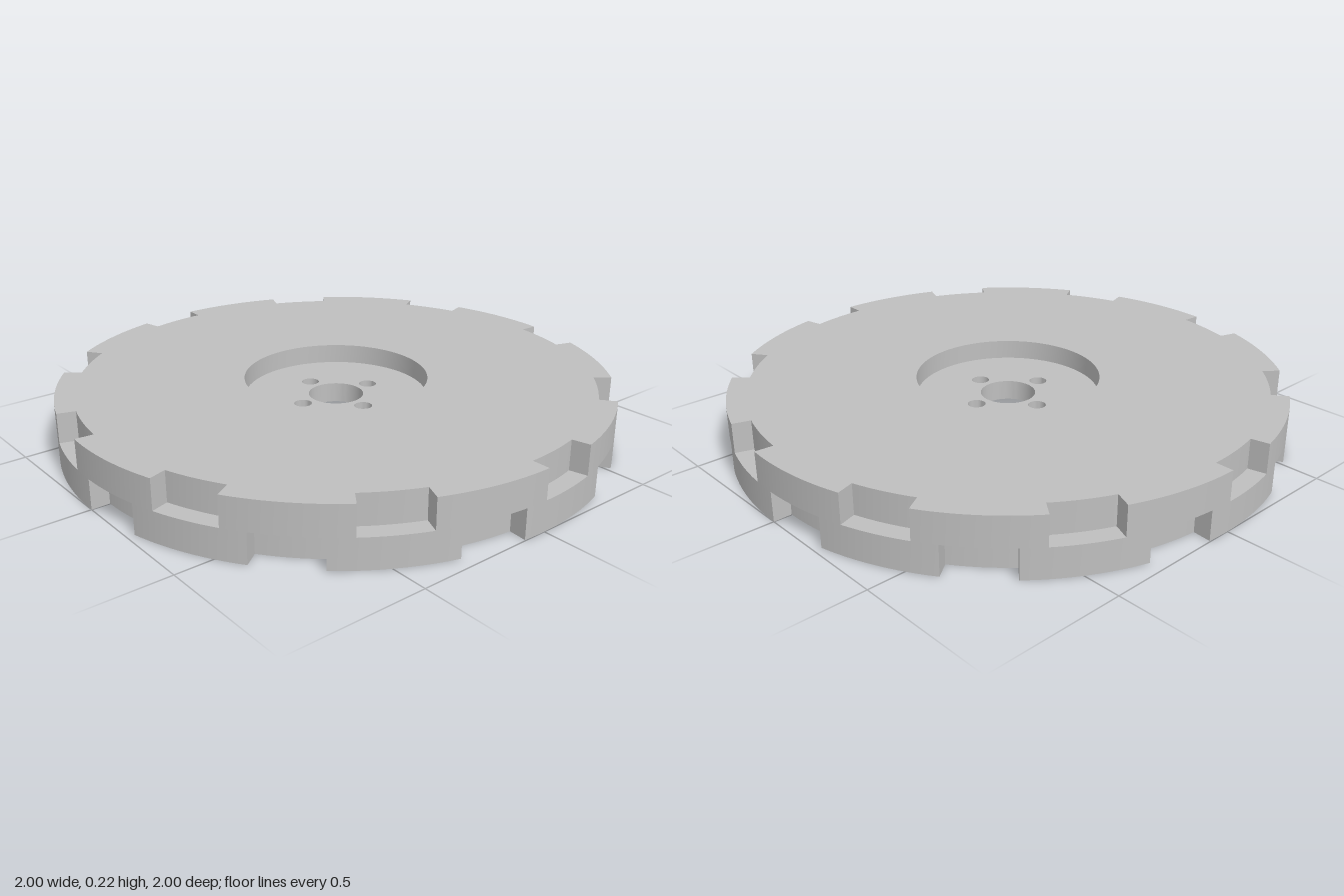
import * as THREE from 'three';
import { mergeGeometries, toCreasedNormals } from 'three/addons/utils/BufferGeometryUtils.js';

const H = 0.215, R = 1, NOTCH_R = 0.935;
const NOTCH = 13.2, PITCH = 36, COUNT = 10, STEP = 1.2; // degrees
const RECESS_R = 0.333, WEB_LOW = 0.071, WEB_HIGH = H - WEB_LOW;

// Points along an arc, in degrees, seen from above
function arc(r, from, to, step = STEP, cx = 0, cy = 0) {
  const n = Math.round(Math.abs(to - from) / step);
  return Array.from({ length: n + 1 }, (_, i) => {
    const a = THREE.MathUtils.degToRad(from + (to - from) * i / n);
    return new THREE.Vector2(cx + r * Math.cos(a), cy + r * Math.sin(a));
  });
}

const circle = (r, step, cx, cy) => arc(r, 0, 360, step, cx, cy).slice(0, -1);

// Disc outline with ten rim notches
function notchedOutline(start) {
  const pts = [];
  for (let k = 0; k < COUNT; k++) {
    const a = start + k * PITCH;
    pts.push(...arc(NOTCH_R, a, a + NOTCH), ...arc(R, a + NOTCH, a + PITCH));
  }
  return pts;
}

// Horizontal face with holes, facing up or down
function cap(outline, holes, y, up) {
  const shape = new THREE.Shape(outline);
  shape.holes = holes.map((h) => new THREE.Path(h));
  const g = new THREE.ShapeGeometry(shape);
  if (!up) g.index.array.reverse();
  g.rotateX(-Math.PI / 2).translate(0, y, 0);
  g.deleteAttribute('uv');
  g.deleteAttribute('normal');
  return g.toNonIndexed();
}

// Vertical wall around a closed outline; inward faces the hole's centre
function wall(outline, y0, y1, inward = false) {
  const pts = inward ? [...outline].reverse() : outline;
  const pos = [];
  pts.forEach((a, i) => {
    const b = pts[(i + 1) % pts.length];
    pos.push(a.x, y0, -a.y, b.x, y0, -b.y, b.x, y1, -b.y);
    pos.push(a.x, y0, -a.y, b.x, y1, -b.y, a.x, y1, -a.y);
  });
  const g = new THREE.BufferGeometry();
  g.setAttribute('position', new THREE.Float32BufferAttribute(pos, 3));
  return g;
}

// Floors (or ceilings) of the notches at mid height
function notchFloors(start, up) {
  return Array.from({ length: COUNT }, (_, k) => {
    const a = start + k * PITCH;
    return cap([...arc(R, a, a + NOTCH), ...arc(NOTCH_R, a + NOTCH, a)], [], H / 2, up);
  });
}

export function createModel() {
  const model = new THREE.Group();
  model.name = 'notchedDisc';
  const steel = new THREE.MeshStandardMaterial({ color: 0xbfbfbf });
  steel.name = 'steel grey';

  const add = (name, parts) => {
    const mesh = new THREE.Mesh(toCreasedNormals(mergeGeometries(parts), 0.6), steel);
    mesh.name = name;
    model.add(mesh);
  };

  const recess = circle(RECESS_R, 4);

  // Two tiers with staggered notches
  const upper = notchedOutline(0);
  add('upperTier', [
    cap(upper, [recess], H, true),
    wall(upper, H / 2, H),
    wall(recess, WEB_HIGH, H, true),
    ...notchFloors(0, true),
  ]);
  const lower = notchedOutline(PITCH / 2);
  add('lowerTier', [
    cap(lower, [recess], 0, false),
    wall(lower, 0, H / 2),
    wall(recess, 0, WEB_LOW, true),
    ...notchFloors(PITCH / 2, false),
  ]);

  // Thin hub web with the bore and four bolt holes
  const holes = [circle(0.1, 6)];
  for (const [x, y] of [[1, 0], [0, 1], [-1, 0], [0, -1]]) {
    holes.push(circle(0.032, 15, x * 0.153, y * 0.153));
  }
  add('hubWeb', [
    cap(recess, holes, WEB_HIGH, true),
    cap(recess, holes, WEB_LOW, false),
    ...holes.map((h) => wall(h, WEB_LOW, WEB_HIGH, true)),
  ]);

  return model;
}
